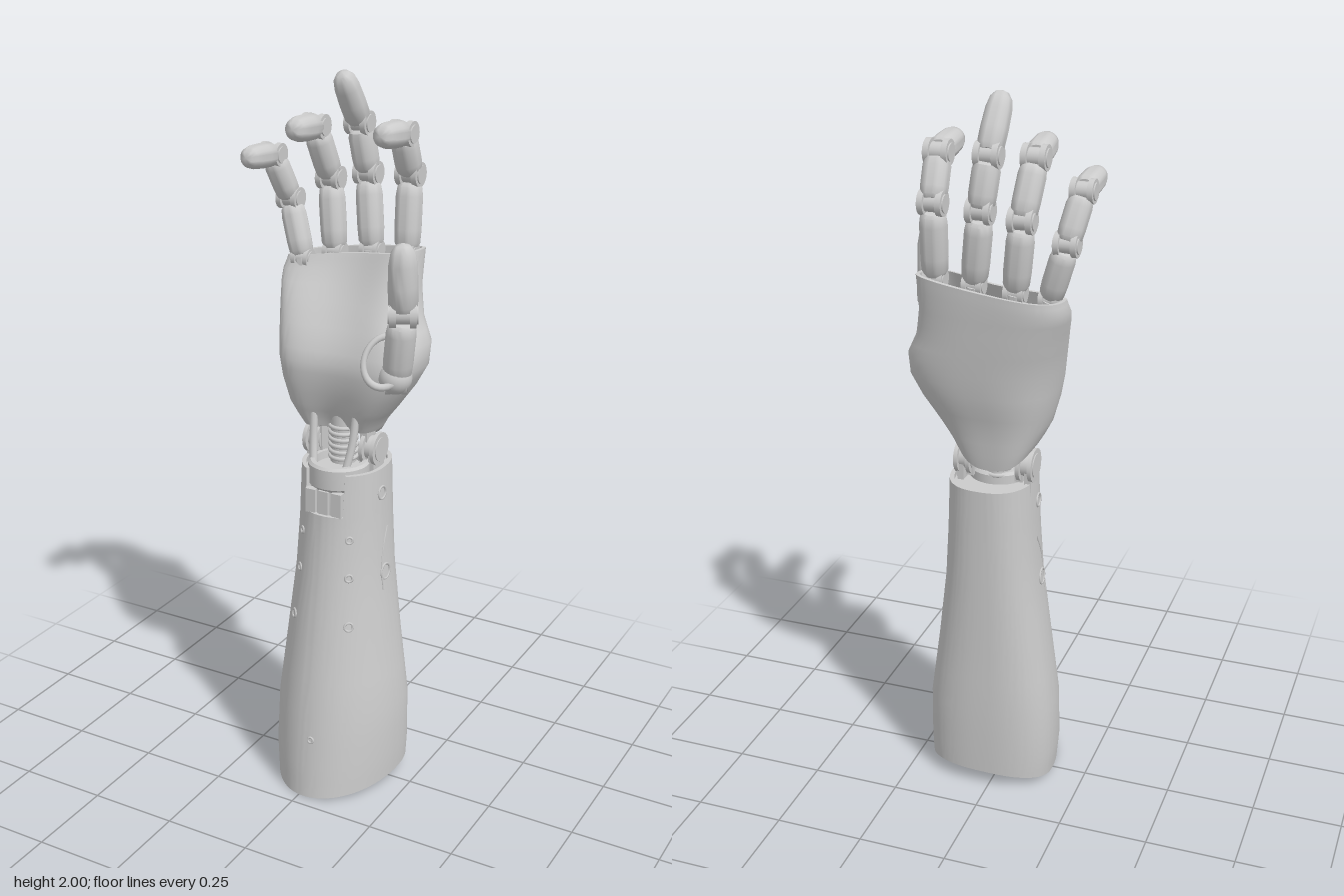
import * as THREE from 'three';
import { toCreasedNormals } from 'three/addons/utils/BufferGeometryUtils.js';

const V = (x, y, z) => new THREE.Vector3(x, y, z);
const grey = new THREE.MeshStandardMaterial({ color: 0xcccccc, side: THREE.DoubleSide });
const lerp = THREE.MathUtils.lerp;

function add(parent, name, geometry, x = 0, y = 0, z = 0) {
  const mesh = new THREE.Mesh(geometry, grey);
  mesh.name = name;
  mesh.position.set(x, y, z);
  parent.add(mesh);
  return mesh;
}

// Skin of quads over rings of points, optionally closed at either end
function loft(rows, capStart, capEnd) {
  const n = rows[0].length, pos = [], idx = [];
  rows.forEach(r => r.forEach(p => pos.push(p.x, p.y, p.z)));
  for (let i = 0; i < rows.length - 1; i++) {
    for (let j = 0; j < n; j++) {
      const a = i * n + j, b = i * n + (j + 1) % n;
      idx.push(a, a + n, b, b, a + n, b + n);
    }
  }
  const cap = (i, flip) => {
    const c = rows[i].reduce((s, p) => s.add(p), V(0, 0, 0)).divideScalar(n);
    const k = pos.push(c.x, c.y, c.z) / 3 - 1;
    for (let j = 0; j < n; j++) {
      const a = i * n + j, b = i * n + (j + 1) % n;
      idx.push(...(flip ? [k, a, b] : [k, b, a]));
    }
  };
  if (capStart) cap(0, true);
  if (capEnd) cap(rows.length - 1, false);
  const g = new THREE.BufferGeometry();
  g.setAttribute('position', new THREE.Float32BufferAttribute(pos, 3));
  g.setIndex(idx);
  return toCreasedNormals(g, 0.6);
}

// Section limits [y, xMin, xMax, zFront, zBack] blended at a given height
function sectionAt(table, y) {
  let i = 0;
  while (i < table.length - 2 && y > table[i + 1][0]) i++;
  const f = THREE.MathUtils.clamp((y - table[i][0]) / (table[i + 1][0] - table[i][0]), 0, 1);
  return table[i].map((v, k) => lerp(v, table[i + 1][k], f));
}
const spow = (v, p) => Math.sign(v) * Math.abs(v) ** p;
const ring = (n, fn) => Array.from({ length: n }, (_, j) => fn(j / n * Math.PI * 2));

const ARM = [
  [0, -.155, .2, .215, -.15], [.1, -.165, .205, .205, -.155], [.25, -.163, .203, .185, -.16],
  [.45, -.14, .175, .15, -.16], [.65, -.117, .15, .117, -.163], [.8, -.108, .14, .1, -.166],
  [.97, -.102, .132, .09, -.17]];

function armPoint(t, y, inset = 0) {
  const [, x0, x1, zf, zb] = sectionAt(ARM, y);
  const s = Math.sin(t), mid = -.03, p = s > 0 ? 1 : .8;
  return V((x0 + x1) / 2 + ((x1 - x0) / 2 - inset) * spow(Math.cos(t), p), y,
    mid + spow(s, p) * (s > 0 ? zf - mid - inset : mid - zb - inset));
}

const PALM = [
  [1.05, -.1, .1, .01, -.125], [1.08, -.118, .118, .025, -.132], [1.12, -.138, .15, .045, -.142],
  [1.19, -.157, .2, .066, -.163], [1.25, -.168, .232, .072, -.175], [1.31, -.178, .232, .05, -.184],
  [1.37, -.19, .2, .015, -.192], [1.44, -.204, .182, -.03, -.2], [1.48, -.208, .18, -.055, -.205],
  [1.52, -.2, .18, -.075, -.207]];

// Palm section: rounded back, dished front, little-finger edge curled forward
function palmPoint(t, y, inset = 0) {
  const [, x0, x1, zf, zb] = sectionAt(PALM, y);
  const c = Math.cos(t), s = Math.sin(t), p = .75;
  const u = spow(c, p), side = (zf + zb) / 2 - .025 * u + (u < 0 ? .015 : 0);
  const dish = s > 0 ? .035 * (1 - u * u) ** 2 * s : 0;
  const z = side + spow(s, .8) * (s > 0 ? zf - side - inset : side - zb - inset) - dish;
  const high = THREE.MathUtils.smoothstep(y, 1.4, 1.52), low = 1 - THREE.MathUtils.smoothstep(y, 1.05, 1.14);
  const lift = high * .13 * u * .19 - low * .05 * Math.max(0, -s) ** 2;
  return V((x0 + x1) / 2 + ((x1 - x0) / 2 - inset) * u, y + lift, z);
}

// Turned part running from a to b; profile is [radius, fraction of length]
function turned(parent, name, a, b, profile) {
  const d = b.clone().sub(a), L = d.length();
  const g = new THREE.LatheGeometry(profile.map(([r, f]) => new THREE.Vector2(r, f * L)), 24);
  const m = add(parent, name, toCreasedNormals(g, .7), a.x, a.y, a.z);
  m.quaternion.setFromUnitVectors(V(0, 1, 0), d.normalize());
  return m;
}
const phalanx = r => [[0, .06], [r * .75, .06], [r * .95, .13], [r, .3], [r, .72], [r * .9, .84], [r * .7, .88], [0, .88]];
const fingertip = r => [[0, .06], [r * .8, .06], [r * .98, .14], [r, .4], [r * .95, .7], [r * .8, .87], [r * .5, .96], [0, 1]];

// Hinge: a pin between two cheek discs
function hinge(parent, name, p, r, width, axis = V(1, 0, 0)) {
  const g = new THREE.Group();
  g.name = name;
  g.position.copy(p);
  g.quaternion.setFromUnitVectors(V(0, 1, 0), axis.clone().normalize());
  add(g, 'hingePin', new THREE.CylinderGeometry(r * .72, r * .72, width, 20));
  for (const s of [-1, 1]) {
    add(g, 'hingeCheek', new THREE.CylinderGeometry(r, r, width * .22, 20), 0, s * width * .34, 0);
  }
  parent.add(g);
}

function digit(name, points, r, axis) {
  const g = new THREE.Group();
  g.name = name;
  const last = points.length - 2;
  points.slice(0, -1).forEach((p, i) => {
    const q = points[i + 1];
    turned(g, i === last ? 'fingertip' : 'phalanx', p, q, i === last ? fingertip(r * .98) : phalanx(r));
    hinge(g, 'joint', p, r * (i ? .92 : .8), r * (i ? 1.95 : 1.6), axis);
  });
  return g;
}

export function createModel() {
  const model = new THREE.Group();

  // Forearm: thick open shell with a slanted hem and a notch at the front of the wrist
  const hem = t => .024 - .022 * Math.sin(t) + .008 * Math.cos(t);
  const notch = t => {
    const p = armPoint(t, .95);
    return Math.sin(t) > 0 && Math.abs(p.x - .012) < .058 ? .835 : .955;
  };
  const clampY = (t, y) => Math.min(Math.max(y, hem(t)), notch(t));
  const ys = [0, .05, .1, .17, .25, .35, .45, .55, .65, .73, .8, .835, .9, .955];
  const outer = ys.map(y => ring(120, t => armPoint(t, clampY(t, y))));
  const inner = ys.map(y => ring(120, t => armPoint(t, clampY(t, y), .012))).reverse();
  add(model, 'forearmShell', loft([...outer, ...inner, outer[0]]));

  // Screws, ports and seam on the forearm surface
  const stud = (name, t, y, r) => {
    const p = armPoint(t, y), du = armPoint(t + .02, y).sub(p), dv = armPoint(t, y + .02).sub(p);
    const m = add(model, name, new THREE.TorusGeometry(r, .0035, 6, 20), p.x, p.y, p.z);
    m.quaternion.setFromUnitVectors(V(0, 0, 1), dv.cross(du).normalize());
  };
  for (const t of [.95, 2.2]) {
    stud('forearmScrew', t, .77, .009);
    stud('forearmScrew', t, .52, .012);
    stud('forearmScrew', t, .66, .01);
  }
  stud('forearmScrew', 1.52, .18, .008);
  for (const t of [.06, Math.PI - .06]) {
    stud('sidePort', t, .65, .022);
    stud('sidePort', t, .885, .018);
    const s = t < 1 ? 1 : -1;
    const path = [[-.12, .78], [.02, .73], [.12, .67], [.12, .6]].map(([d, y]) => armPoint(t + s * d, y));
    add(model, 'sideSeam', new THREE.TubeGeometry(new THREE.CatmullRomCurve3(path), 24, .003, 6));
  }

  // Wrist: socket collar, deck and front bracket
  const collar = [[.07, .8], [.076, .83], [.076, .9], [.085, .91], [.085, .965], [.078, .972], [.066, .972], [.064, .95], [0, .95]];
  add(model, 'wristCollar', toCreasedNormals(
    new THREE.LatheGeometry(collar.map(([r, y]) => new THREE.Vector2(r, y)), 40), .5), .015, 0, .003);
  const deck = ring(48, t => armPoint(t, .925, .01));
  add(model, 'wristDeck', loft([deck, deck.map(p => p.clone().setY(.94))], true, true));
  for (const x of [-.028, .012, .052]) add(model, 'frontBracket', new THREE.BoxGeometry(.03, .07, .02), x, .868, .078);

  // Wrist: ribbed core, side arms and pivots
  add(model, 'wristCore', new THREE.CylinderGeometry(.036, .036, .17, 24), .005, 1.01, -.04);
  for (let i = 0; i < 6; i++) {
    const rib = add(model, 'coreRib', new THREE.TorusGeometry(.037, .006, 8, 24), .005, .965 + i * .018, -.04);
    rib.rotation.x = Math.PI / 2;
  }
  for (const s of [-1, 1]) {
    add(model, 'wristArm', new THREE.BoxGeometry(.022, .15, .05), .005 + s * .07, 1.03, -.05);
    add(model, 'wristFork', new THREE.BoxGeometry(.018, .09, .06), .005 + s * .096, .965, -.05);
    hinge(model, 'wristPivot', V(.005 + s * .088, 1.0, -.05), .047, .05);
    const strut = [V(s * .05, .95, .03), V(s * .06, 1.02, .012), V(s * .065, 1.1, 0)];
    add(model, 'wristStrut', new THREE.TubeGeometry(new THREE.CatmullRomCurve3(strut), 12, .011, 10));
  }

  // Palm: closed at the wrist, recessed at the knuckles
  const palmYs = [1.05, 1.065, 1.08, 1.1, 1.12, 1.155, 1.19, 1.22, 1.25, 1.28, 1.31, 1.34, 1.37, 1.4, 1.44, 1.48, 1.505, 1.52];
  const palm = palmYs.map(y => ring(80, t => palmPoint(t, y)));
  palm.push(ring(80, t => palmPoint(t, 1.52, .01)), ring(80, t => palmPoint(t, 1.47, .012)));
  add(model, 'palm', loft(palm, true, true));

  // Fingers: knuckle, two bends and tip
  const fingers = {
    indexFinger: [[.135, 1.53, -.15], [.127, 1.735, -.178], [.13, 1.85, -.125], [.13, 1.862, .003]],
    middleFinger: [[.03, 1.525, -.15], [.002, 1.725, -.178], [-.012, 1.86, -.155], [-.02, 2.0, -.072]],
    ringFinger: [[-.075, 1.51, -.135], [-.1, 1.705, -.158], [-.115, 1.85, -.1], [-.105, 1.862, .036]],
    littleFinger: [[-.155, 1.49, -.1], [-.205, 1.645, -.122], [-.23, 1.77, -.072], [-.23, 1.782, .062]]
  };
  for (const [name, pts] of Object.entries(fingers)) {
    const p = pts.map(a => V(...a)), r = name === 'littleFinger' ? .034 : .036;
    model.add(digit(name, p, r));
    // Knuckle root reaching into the palm
    const root = p[0].clone().sub(p[1]).normalize().multiplyScalar(.08).add(p[0]);
    turned(model, 'knuckleRoot', root, p[0], [[0, 0], [r * .7, 0], [r * .7, 1], [0, 1]]);
  }

  // Thumb with its socket rim on the side of the palm
  model.add(digit('thumb', [V(.19, 1.225, .01), V(.222, 1.425, .04), V(.226, 1.615, .055)], .04, V(1, 0, -.5)));
  add(model, 'thumbBall', new THREE.SphereGeometry(.045, 24, 16), .19, 1.24, .015);
  const rim = add(model, 'thumbSocketRim', new THREE.TorusGeometry(.055, .008, 10, 32), .175, 1.29, .045);
  rim.rotation.set(-.35, .5, -.2);
  rim.scale.y = 1.25;

  return model;
}
